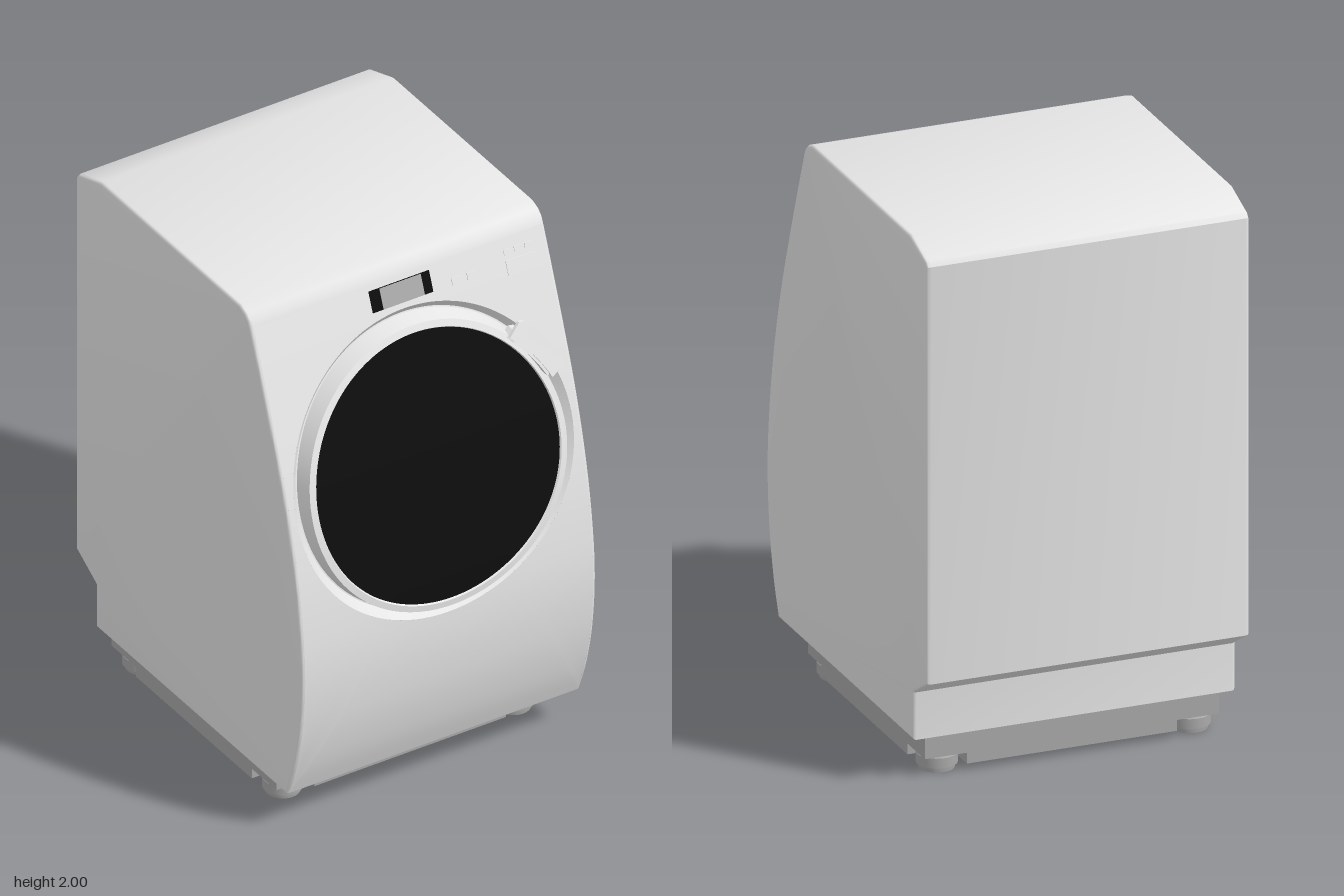
import * as THREE from 'three';
import { toCreasedNormals } from 'three/addons/utils/BufferGeometryUtils.js';

const material = (name, color) => {
  const m = new THREE.MeshStandardMaterial({ color });
  m.name = name;
  return m;
};

// Depth of the bowed front as a function of height, from (y, z) points
const V = (x, y) => new THREE.Vector2(x, y);
const frontCurve = new THREE.SplineCurve([
  [0.15, 0.603], [0.26, 0.645], [0.4, 0.68], [0.53, 0.698], [0.66, 0.705], [0.8, 0.699], [1.0, 0.673],
  [1.2, 0.631], [1.4, 0.575], [1.6, 0.506], [1.8, 0.432], [1.94, 0.378],
].map(([y, z]) => V(y, z)));
const samples = frontCurve.getPoints(240);
function front(y) {
  let i = 0;
  while (i < samples.length - 2 && samples[i + 1].x < y) i++;
  const a = samples[i], b = samples[i + 1];
  return a.y + (b.y - a.y) * (y - a.x) / (b.x - a.x);
}

// Door coordinates: radius, angle and offset from the bowed front
const CY = 1.287, KY = 0.972;
const doorPoint = (r, t, o) => {
  const y = CY + KY * r * Math.sin(t);
  return [r * Math.cos(t), y, front(y) + o];
};

// Grid surface; i runs outward, j runs counter-clockwise
function grid(ni, nj, point) {
  const pos = [], index = [];
  for (let i = 0; i <= ni; i++) for (let j = 0; j <= nj; j++) pos.push(...point(i, j));
  for (let i = 0; i < ni; i++) for (let j = 0; j < nj; j++) {
    const a = i * (nj + 1) + j, b = a + nj + 1;
    index.push(a, b, b + 1, a, b + 1, a + 1);
  }
  const g = new THREE.BufferGeometry();
  g.setAttribute('position', new THREE.Float32BufferAttribute(pos, 3));
  g.setIndex(index);
  g.computeVertexNormals();
  return g;
}

// Ring swept round the door from (radius, offset) points, inside to outside
const sweep = (profile) => toCreasedNormals(
  grid(profile.length - 1, 128, (i, j) => doorPoint(profile[i][0], j / 128 * Math.PI * 2, profile[i][1])), 0.5);

// Plate that follows the bowed front between two offsets
function plate(points, o0, o1) {
  const g = new THREE.ExtrudeGeometry(new THREE.Shape(points), { depth: o1 - o0, bevelEnabled: false });
  const p = g.attributes.position;
  for (let i = 0; i < p.count; i++) p.setZ(i, p.getZ(i) + o0 + front(p.getY(i)));
  return toCreasedNormals(g, 0.5);
}
const rect = (x0, x1, y0, y1) => [V(x0, y0), V(x1, y0), V(x1, y1), V(x0, y1)];

// Part of a ring with clipped outer corners
function sector(r0, r1, a0, a1) {
  const pts = [], n = 12, rad = Math.PI / 180;
  const add = (r, a) => { const [x, y] = doorPoint(r, a * rad, 0); pts.push(V(x, y)); };
  for (let i = 0; i <= n; i++) add(r0, a1 + (a0 - a1) * i / n);
  add(r1 - 0.012, a0 + 0.8);
  for (let i = 0; i <= n; i++) add(r1, a0 + 2.5 + (a1 - a0 - 5) * i / n);
  add(r1 - 0.012, a1 - 0.8);
  return pts;
}

// Cabinet shell with soft side edges and an open front
const HALF = 0.595, BEVEL = 0.012, INNER = HALF - BEVEL, TOP = 1.94;
function shellGeometry() {
  const outline = frontCurve.getPoints(44);
  const profile = outline.map((p) => V(p.y, p.x)).concat([
    V(0.367, 1.965), V(0.345, 1.986), V(0.307, 2), V(-0.57, 2), V(-0.712, 1.952), V(-0.725, 1.935),
    V(-0.725, 0.4), V(-0.6, 0.325), V(-0.6, 0.15),
  ]);
  let g = new THREE.ExtrudeGeometry(new THREE.Shape(profile), {
    depth: 2 * INNER, bevelSize: BEVEL, bevelThickness: BEVEL, bevelOffset: -BEVEL, bevelSegments: 3,
  });
  g.translate(0, 0, -INNER);
  g.rotateY(-Math.PI / 2);
  g = toCreasedNormals(g, 0.6);
  const p = g.attributes.position, n = g.attributes.normal, pos = [], nor = [];
  for (let t = 0; t < p.count; t += 3) {
    const tri = [t, t + 1, t + 2];
    const isFront = tri.every((i) => Math.abs(p.getX(i)) < INNER + 0.001 && p.getY(i) < TOP + 0.001 && p.getZ(i) > 0.37);
    if (isFront) continue;
    for (const i of tri) {
      pos.push(p.getX(i), p.getY(i), p.getZ(i));
      nor.push(n.getX(i), n.getY(i), n.getZ(i));
    }
  }
  const out = new THREE.BufferGeometry();
  out.setAttribute('position', new THREE.Float32BufferAttribute(pos, 3));
  out.setAttribute('normal', new THREE.Float32BufferAttribute(nor, 3));
  return out;
}

// Front panel spreading from the round opening to its rectangular border
const HOLE = 0.56;
function panelGeometry() {
  const angles = [];
  for (let i = 0; i < 160; i++) angles.push(i / 160 * Math.PI * 2);
  for (const x of [-INNER, INNER]) for (const y of [0.15, TOP]) {
    angles.push((Math.atan2((y - CY) / KY, x) + Math.PI * 2) % (Math.PI * 2));
  }
  angles.sort((a, b) => a - b);
  angles.push(Math.PI * 2);
  return grid(16, angles.length - 1, (i, j) => {
    const c = Math.cos(angles[j]), s = Math.sin(angles[j]);
    const rx = INNER / Math.max(Math.abs(c), 1e-6);
    const ry = (s > 0 ? TOP - CY : CY - 0.15) / KY / Math.max(Math.abs(s), 1e-6);
    return doorPoint(HOLE + (Math.min(rx, ry) - HOLE) * i / 16, angles[j], 0);
  });
}

// Plinth layer with square notches at the corners
function plinthLayer(notch, y0, y1) {
  const x = 0.543, z0 = -0.46, z1 = 0.58, n = notch;
  const pts = n ? [
    V(-x + n, z0), V(x - n, z0), V(x - n, z0 + n), V(x, z0 + n), V(x, z1 - n), V(x - n, z1 - n),
    V(x - n, z1), V(-x + n, z1), V(-x + n, z1 - n), V(-x, z1 - n), V(-x, z0 + n), V(-x + n, z0 + n),
  ] : rect(-x, x, z0, z1);
  const g = new THREE.ExtrudeGeometry(new THREE.Shape(pts), { depth: y1 - y0, bevelEnabled: false });
  g.rotateX(-Math.PI / 2);
  return g.translate(0, y0, 0);
}

export function createModel() {
  const white = material('cabinet white', 0xe6e6e6);
  const grey = material('plinth grey', 0xa9a9a9);
  const black = material('glass black', 0x0d0d0d);
  const model = new THREE.Group();
  model.name = 'washingMachine';
  const add = (name, geometry, mat, parent = model) => {
    const mesh = new THREE.Mesh(geometry, mat);
    mesh.name = name;
    parent.add(mesh);
    return mesh;
  };
  const group = (name) => {
    const g = new THREE.Group();
    g.name = name;
    model.add(g);
    return g;
  };

  // Cabinet
  add('cabinetShell', shellGeometry(), white);
  add('frontPanel', panelGeometry(), white);

  // Door: sunken surround, raised ring, dark glass
  const door = group('door');
  add('doorSurround', sweep([[0.52, -0.03], [0.532, -0.03], [HOLE, 0]]), white, door);
  add('doorRing', sweep([[0.484, 0.024], [0.49, 0.033], [0.514, 0.03], [0.527, -0.03]]), white, door);
  add('doorGlass', grid(16, 128, (i, j) => doorPoint(0.486 * i / 16, j / 128 * Math.PI * 2, 0.027)), black, door);

  // Door handle: block with a wider cover plate
  const handle = group('doorHandle');
  add('handleBlock', plate(sector(0.505, 0.55, 25, 46), 0.0, 0.07), white, handle);
  add('handleCover', plate(sector(0.515, 0.588, 24, 49), 0.068, 0.08), white, handle);

  // Control panel
  const controls = group('controls');
  add('displayFrame', plate(rect(-0.122, 0.122, 1.852, 1.924), -0.003, 0.003), black, controls);
  add('displayScreen', plate(rect(-0.08, 0.087, 1.853, 1.923), 0, 0.005), grey, controls);
  const buttons = [
    [0.2, 0.24, 1.848, 1.872], [0.262, 0.302, 1.848, 1.872],
    [0.418, 0.535, 1.815, 1.865], [0.418, 0.45, 1.885, 1.902], [0.46, 0.492, 1.885, 1.902], [0.502, 0.535, 1.885, 1.902],
  ];
  for (const b of buttons) add('button', plate(rect(...b), -0.002, 0.003), white, controls);

  // Plinth and feet
  add('plinthTop', plinthLayer(0, 0.065, 0.152), grey);
  add('plinthBottom', plinthLayer(0.155, 0.025, 0.066), grey);
  for (const x of [-0.467, 0.467]) for (const z of [0.382, -0.502]) {
    const foot = add('foot', toCreasedNormals(new THREE.LatheGeometry(
      [V(0, 0), V(0.062, 0), V(0.064, 0.015), V(0.072, 0.018), V(0.072, 0.055), V(0.066, 0.062), V(0, 0.067)], 28), 0.5), grey);
    foot.position.set(x, 0, z);
  }
  return model;
}
